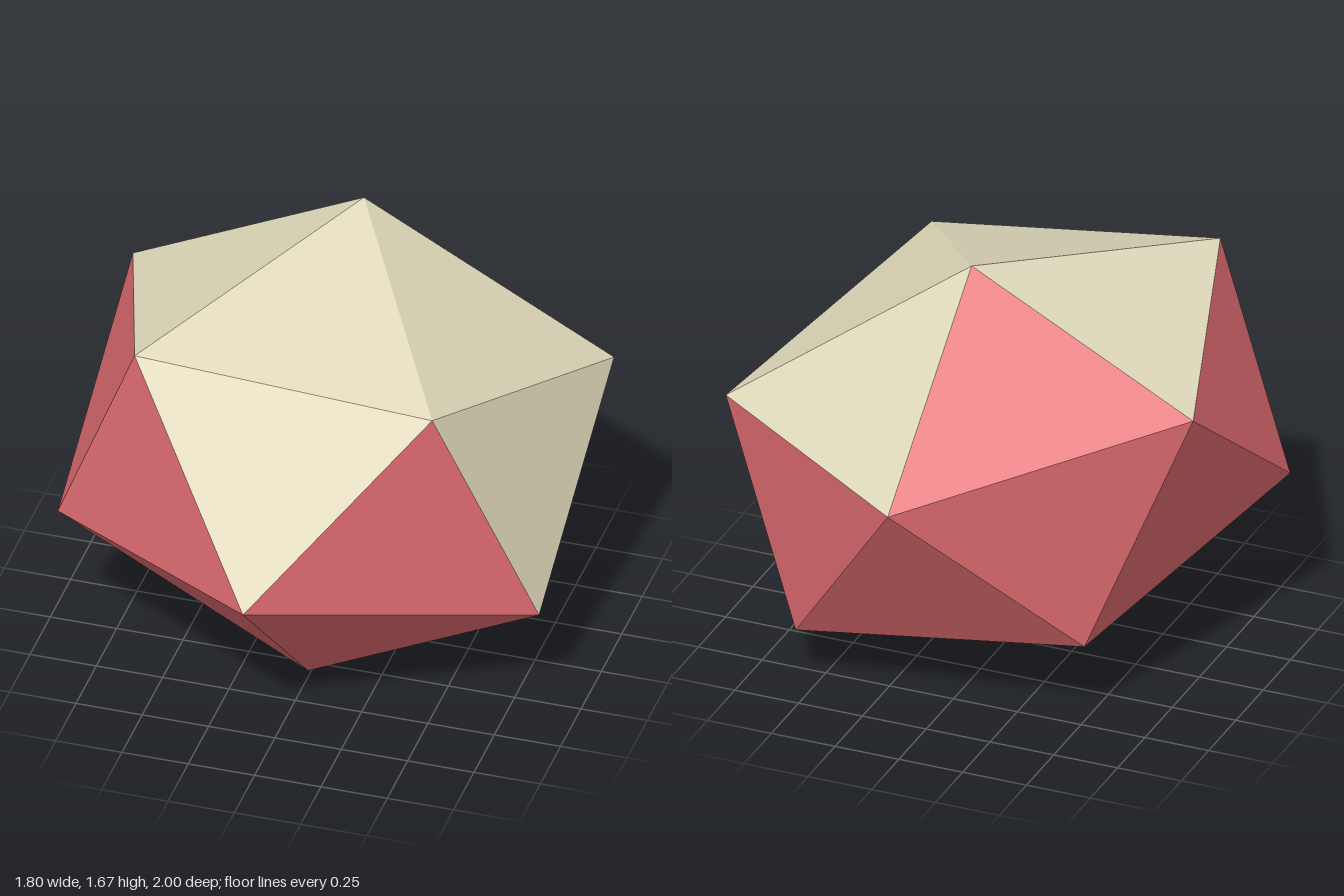
import * as THREE from 'three';

export function createModel() {
  const group = new THREE.Group();
  group.name = 'facetedStone';
  const cream = new THREE.MeshStandardMaterial({ name: 'cream', color: 0xe0d9bb });
  const red = new THREE.MeshStandardMaterial({ name: 'coralRed', color: 0xe06c71 });

  // Half of the corners, relative to the centre; the rest are their opposites
  const midY = 0.84;
  const apex = [0.012, 0.836, -0.305];
  const ring = [
    [-0.573, 0.623, 0.606],
    [0.522, 0.503, 0.52],
    [0.902, 0.205, -0.477],
    [0.044, 0.145, -1.0],
    [-0.867, 0.4, -0.331],
  ];
  const opposite = (p) => p.map((v) => -v);

  // Faces: apex cap, the band below it, and the mirrored halves of both
  const creamFaces = [], redFaces = [];
  for (let i = 0; i < 5; i++) {
    const a = ring[i], b = ring[(i + 1) % 5];
    const cap = [apex, a, b];
    const band = [a, opposite(ring[(i + 3) % 5]), b];
    (i === 3 ? redFaces : creamFaces).push(cap);
    (i < 2 ? creamFaces : redFaces).push(band);
    for (const face of [cap, band]) redFaces.push(face.map(opposite).reverse());
  }

  const addFacets = (name, faces, material) => {
    const geometry = new THREE.BufferGeometry();
    geometry.setAttribute('position', new THREE.Float32BufferAttribute(faces.flat(2), 3));
    geometry.translate(0, midY, 0);
    geometry.computeVertexNormals(); // unshared corners give flat facets
    const mesh = new THREE.Mesh(geometry, material);
    mesh.name = name;
    group.add(mesh);
  };
  addFacets('creamFacets', creamFaces, cream);
  addFacets('redFacets', redFaces, red);
  return group;
}
